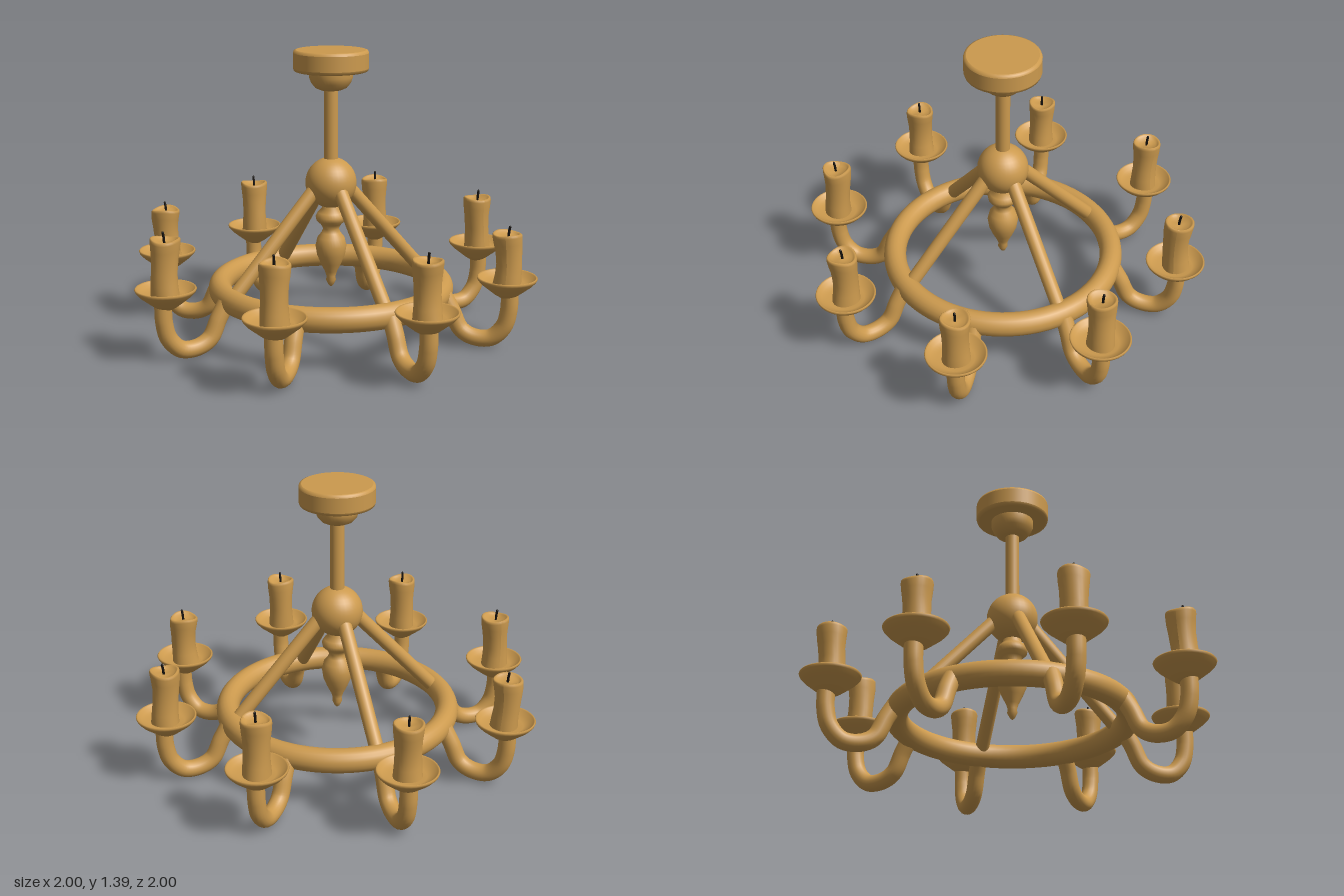
import * as THREE from 'three';

const brass = new THREE.MeshStandardMaterial({ color: 0xcc9a4e });
brass.name = 'brass';
const black = new THREE.MeshStandardMaterial({ color: 0x15110d });
black.name = 'wickBlack';

const v3 = (x, y, z = 0) => new THREE.Vector3(x, y, z);

function add(parent, name, geometry, material = brass) {
  const mesh = new THREE.Mesh(geometry, material);
  mesh.name = name;
  parent.add(mesh);
  return mesh;
}

// Profile runs from the bottom axis outward and up to the top axis.
const turned = (points, segments = 40) =>
  new THREE.LatheGeometry(points.map(([r, y]) => new THREE.Vector2(r, y)), segments);

// Straight round bar between two points.
function bar(a, b, radius) {
  return new THREE.TubeGeometry(new THREE.LineCurve3(a, b), 1, radius, 20);
}

// Slightly melted candle: waist, uneven rim and a shallow well at the top.
function candleGeometry(height, phase) {
  const g = turned([
    [0.066, 0], [0.062, 0.05], [0.06, 0.1], [0.062, 0.16], [0.067, 0.2], [0.07, 0.235],
    [0.069, 0.245], [0.064, 0.25], [0.056, 0.246], [0.045, 0.236], [0.02, 0.233], [0, 0.233],
  ], 28);
  const p = g.attributes.position;
  for (let i = 0; i < p.count; i++) {
    const x = p.getX(i), y = p.getY(i), z = p.getZ(i);
    const a = Math.atan2(z, x);
    const t = y / 0.25;
    const k = 1 + 0.035 * Math.sin(3 * a + phase + 5 * t);
    const lift = 0.005 * t * Math.sin(2 * a + phase) * Math.min(1, Math.hypot(x, z) / 0.05);
    p.setXYZ(i, x * k + 0.005 * Math.sin(4 * t + phase), t * height + lift, z * k);
  }
  g.computeVertexNormals();
  return g;
}

// One curved arm with its drip dish, candle and wick, reaching out along +x.
function createArm(index) {
  const arm = new THREE.Group();
  arm.name = 'candleArm';
  const path = new THREE.CatmullRomCurve3([
    v3(0.56, 0.25), v3(0.6, 0.18), v3(0.645, 0.09), v3(0.71, 0.056),
    v3(0.79, 0.06), v3(0.85, 0.12), v3(0.872, 0.2), v3(0.875, 0.3),
  ]);
  add(arm, 'armTube', new THREE.TubeGeometry(path, 36, 0.041, 18));

  const holder = new THREE.Group();
  holder.name = 'candleHolder';
  holder.position.x = 0.86;
  arm.add(holder);
  add(holder, 'dripDish', turned([
    [0, 0.262], [0.03, 0.266], [0.058, 0.283], [0.09, 0.308], [0.12, 0.332], [0.138, 0.352],
    [0.142, 0.362], [0.138, 0.368], [0.132, 0.364], [0.115, 0.348], [0.085, 0.334], [0, 0.33],
  ]));

  // Candles on the left and right arms are a little shorter.
  const height = index % 4 === 0 ? 0.245 : index % 2 === 0 ? 0.275 : 0.265;
  const candle = add(holder, 'candle', candleGeometry(height, index * 1.3));
  candle.position.y = 0.333;

  const top = 0.333 + height;
  const wick = new THREE.CatmullRomCurve3([
    v3(0, top - 0.03), v3(0.002, top + 0.005), v3(0.006, top + 0.03),
  ]);
  add(holder, 'wick', new THREE.TubeGeometry(wick, 6, 0.006, 8), black);
  add(holder, 'wickTip', new THREE.SphereGeometry(0.006, 8, 6), black).position.set(0.006, top + 0.03, 0);

  arm.rotation.y = index * Math.PI / 4;
  return arm;
}

export function createModel() {
  const model = new THREE.Group();
  model.name = 'chandelier';

  // Ceiling plate with a slightly softened edge
  add(model, 'ceilingPlate', turned([
    [0, 1.302], [0.165, 1.302], [0.165, 1.302], [0.175, 1.306], [0.179, 1.318],
    [0.179, 1.318], [0.179, 1.39], [0.179, 1.39], [0.175, 1.4], [0.166, 1.404], [0.166, 1.404], [0, 1.404],
  ], 48));
  add(model, 'plateCollar', turned([
    [0, 1.212], [0.05, 1.214], [0.075, 1.225], [0.094, 1.248], [0.104, 1.275], [0.104, 1.305],
  ]));

  // Central stem, ball and hanging finial
  add(model, 'stem', new THREE.CylinderGeometry(0.034, 0.034, 0.38, 24, 1, true)).position.y = 1.05;
  add(model, 'hubBall', new THREE.SphereGeometry(0.123, 32, 20)).position.y = 0.767;
  add(model, 'finial', turned([
    [0, 0.245], [0.012, 0.255], [0.024, 0.28], [0.022, 0.3], [0.03, 0.325], [0.05, 0.365],
    [0.068, 0.41], [0.075, 0.455], [0.066, 0.495], [0.046, 0.52], [0.038, 0.54], [0.05, 0.562],
    [0.07, 0.58], [0.074, 0.6], [0.064, 0.62], [0.045, 0.64], [0.04, 0.68],
  ], 32));

  // Main ring, a little taller than it is wide
  const ring = add(model, 'ring', new THREE.TorusGeometry(0.54, 0.055, 20, 80).rotateX(Math.PI / 2).scale(1, 1.07, 1));
  ring.position.y = 0.254;

  // Four sloping struts from ball to ring
  for (let i = 0; i < 4; i++) {
    const strut = add(model, 'strut', bar(v3(0.08, 0.75), v3(0.525, 0.262), 0.034));
    strut.rotation.y = Math.PI / 4 + i * Math.PI / 2;
  }

  // Eight candle arms
  for (let i = 0; i < 8; i++) model.add(createArm(i));

  return model;
}
